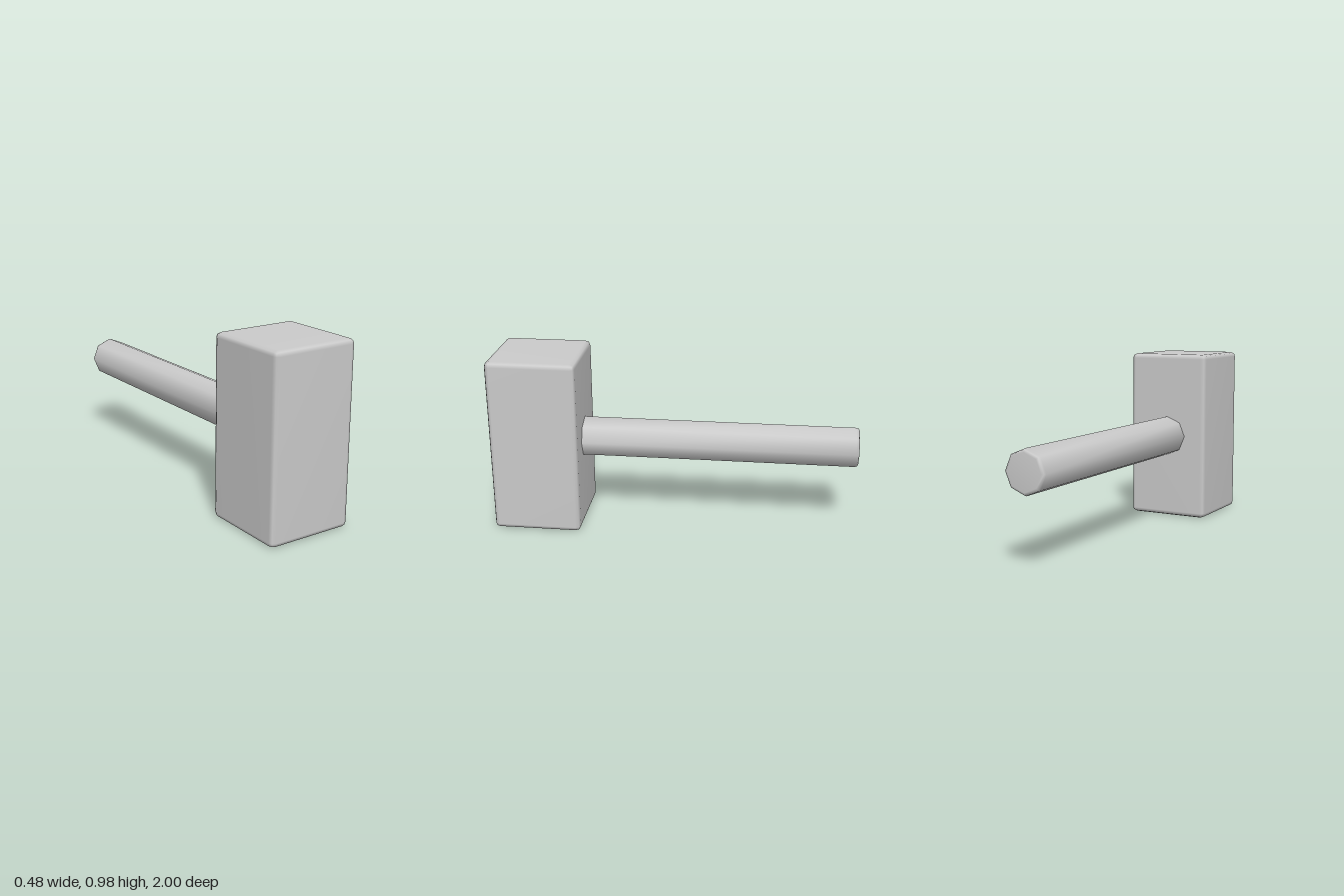
import * as THREE from 'three';
import { RoundedBoxGeometry } from 'three/addons/geometries/RoundedBoxGeometry.js';
import { mergeVertices } from 'three/addons/utils/BufferGeometryUtils.js';

const material = new THREE.MeshStandardMaterial({ color: 0xcccccc });

// Weld the surface so the whole part shades smoothly
function smooth(geometry) {
  geometry.deleteAttribute('uv');
  geometry.deleteAttribute('normal');
  const welded = mergeVertices(geometry, 1e-4);
  welded.computeVertexNormals();
  return welded;
}

function addPart(group, name, geometry) {
  const mesh = new THREE.Mesh(smooth(geometry), material);
  mesh.name = name;
  group.add(mesh);
  return mesh;
}

export function createModel() {
  const group = new THREE.Group();
  group.name = 'mallet';
  const height = 0.975, width = 0.484, depth = 0.487;

  // Upright block with bevelled edges
  const head = addPart(group, 'head', new RoundedBoxGeometry(width, height, depth, 1, 0.027));
  head.position.set(0, height / 2, 1 - depth / 2);

  // Eight-sided handle running back from the head, bevelled at its free end
  const radius = 0.115, bevel = 0.018, length = 1.53;
  const profile = [
    [0, 0],
    [radius, 0],
    [radius, length - bevel],
    [radius - bevel * 0.3, length - bevel * 0.3],
    [radius - bevel, length],
    [0, length],
  ].map(([x, y]) => new THREE.Vector2(x, y));
  const handle = addPart(group, 'handle', new THREE.LatheGeometry(profile, 8).rotateX(-Math.PI / 2));
  handle.position.set(0, height / 2, length - 1);

  return group;
}
